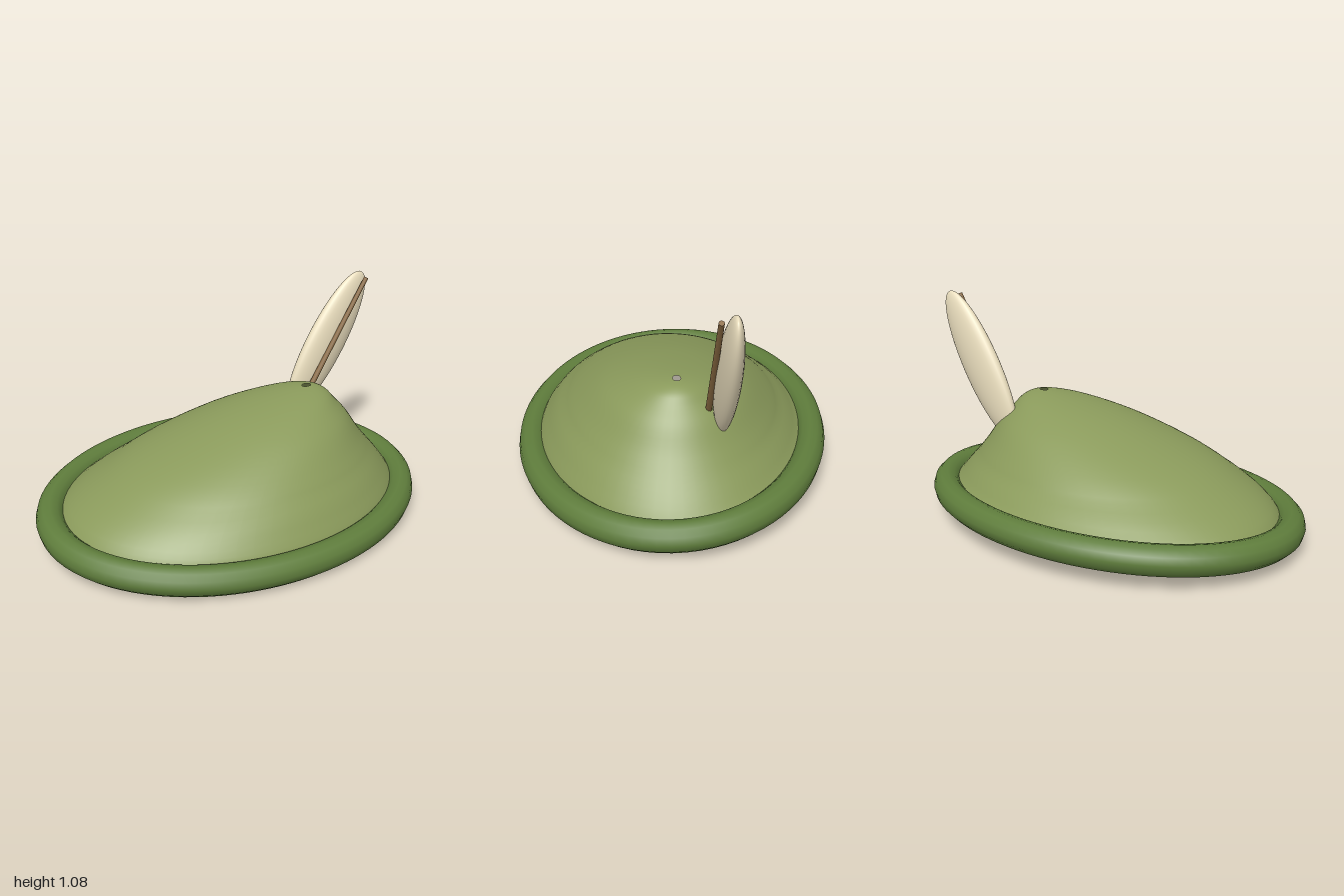
import * as THREE from 'three';

const TILT = 0.058; // the brim rises toward the back

const mat = (color) => new THREE.MeshStandardMaterial({ color, side: THREE.DoubleSide });

function add(group, name, geometry, color) {
  const mesh = new THREE.Mesh(geometry, mat(color));
  mesh.name = name;
  group.add(mesh);
  return mesh;
}

// Closed loop around an ellipse, sloping upward to the back
class BrimCurve extends THREE.Curve {
  getPoint(t, target = new THREE.Vector3()) {
    const a = t * Math.PI * 2, z = 0.692 * Math.sin(a);
    return target.set(0.931 * Math.cos(a), 0.11 - TILT * z, z);
  }
}

// Crown: elliptical rings whose centres drift toward the off-centre peak
function crownGeometry() {
  // [height, centre x, radius x, radius z, share of brim tilt]
  const rings = [
    [0.105, 0, 0.905, 0.675, 1], [0.18, 0.005, 0.845, 0.622, 0.35], [0.285, 0.05, 0.71, 0.525, 0],
    [0.36, 0.1, 0.6, 0.455, 0], [0.455, 0.21, 0.425, 0.345, 0], [0.515, 0.29, 0.29, 0.243, 0],
    [0.555, 0.37, 0.175, 0.155, 0], [0.577, 0.42, 0.085, 0.075, 0], [0.585, 0.44, 0.025, 0.018, 0],
  ];
  const track = (k) => new THREE.CatmullRomCurve3(
    rings.map((r) => new THREE.Vector3(r[k], r[k + 1], r[k + 2])));
  const centre = track(0), shape = track(2); // (y, cx, rx) and (rx, rz, tilt)
  const rows = 32, cols = 64, pos = [], index = [];
  for (let i = 0; i <= rows; i++) {
    const c = centre.getPoint(i / rows), s = shape.getPoint(i / rows);
    for (let j = 0; j < cols; j++) {
      const a = (j / cols) * Math.PI * 2, z = s.y * Math.sin(a);
      pos.push(c.y + c.z * Math.cos(a), c.x - TILT * z * s.z, z);
      if (i < rows) {
        const n = (j + 1) % cols, p = i * cols + j, q = i * cols + n;
        index.push(p, p + cols, q, q, p + cols, q + cols);
      }
    }
  }
  const g = new THREE.BufferGeometry();
  g.setAttribute('position', new THREE.Float32BufferAttribute(pos, 3));
  g.setIndex(index);
  g.computeVertexNormals();
  return g;
}

export function createModel() {
  const hat = new THREE.Group();
  hat.name = 'featheredHat';

  add(hat, 'crown', crownGeometry(), 0x8a9a5b);
  add(hat, 'brim', new THREE.TubeGeometry(new BrimCurve(), 96, 0.069, 12, true), 0x5f7d3c);

  // Feather leaning outward, its lower end cut off square
  const feather = new THREE.Group();
  feather.name = 'feather';
  feather.position.set(0.695, 0.712, -0.192);
  feather.rotation.z = -0.546;
  hat.add(feather);

  const vane = add(feather, 'featherVane',
    new THREE.SphereGeometry(1, 32, 24, 0, Math.PI * 2, 0, Math.PI * 0.785), 0xe8dcbc);
  vane.scale.set(0.123, 0.42, 0.053);

  // Quill along the front face of the feather
  const quill = add(feather, 'featherQuill', new THREE.CylinderGeometry(0.012, 0.015, 0.68, 10), 0x8b6b43);
  quill.position.set(-0.005, 0.056, 0.06);

  return hat;
}
